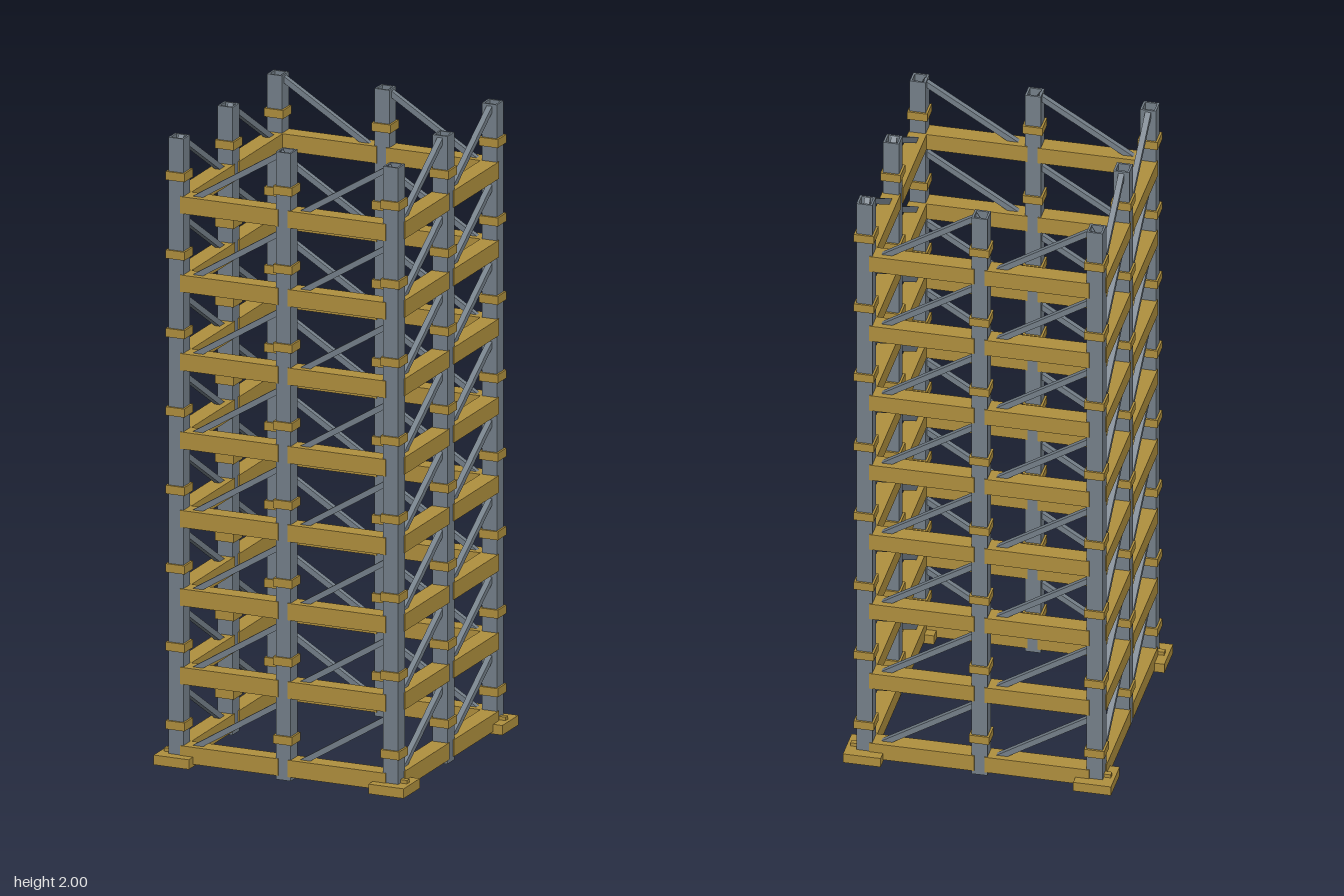
import * as THREE from 'three';

const LEVELS = 8, STEP = 0.25, R = 0.36; // storeys, storey height, half distance between corner posts

export function createModel() {
  const steel = new THREE.MeshStandardMaterial({ color: 0x75808a });
  steel.name = 'steel grey';
  const ochre = new THREE.MeshStandardMaterial({ color: 0xb0903e });
  ochre.name = 'ochre';

  // Square tube standing on y = 0
  function squareTube(outer, inner, height) {
    const square = (Type, s) => new Type([
      new THREE.Vector2(-s / 2, -s / 2), new THREE.Vector2(s / 2, -s / 2),
      new THREE.Vector2(s / 2, s / 2), new THREE.Vector2(-s / 2, s / 2),
    ]);
    const shape = square(THREE.Shape, outer);
    shape.holes.push(square(THREE.Path, inner));
    return new THREE.ExtrudeGeometry(shape, { depth: height, bevelEnabled: false }).rotateX(-Math.PI / 2);
  }

  function add(parent, name, geometry, material, x, y, z) {
    const mesh = new THREE.Mesh(geometry, material);
    mesh.name = name;
    mesh.position.set(x, y, z);
    parent.add(mesh);
    return mesh;
  }

  const postGeo = squareTube(0.05, 0.037, 2);
  const collarGeo = squareTube(0.063, 0.049, 0.027);
  const beamGeo = new THREE.BoxGeometry(0.328, 0.054, 0.057);
  const padGeo = new THREE.BoxGeometry(0.118, 0.031, 0.118);
  const pinGeo = new THREE.BoxGeometry(0.094, 0.014, 0.018);

  // Diagonal brace rises towards +x within one bay
  const run = 0.338, rise = run * 0.617;
  const braceGeo = new THREE.BoxGeometry(Math.hypot(run, rise), 0.018, 0.018)
    .rotateZ(Math.atan2(rise, run));

  const tower = new THREE.Group();
  tower.name = 'scaffoldTower';

  // Four identical sides, turned about the vertical axis
  for (let s = 0; s < 4; s++) {
    const side = new THREE.Group();
    side.name = ['front', 'right', 'back', 'left'][s] + 'Side';
    side.rotation.y = s * Math.PI / 2;
    tower.add(side);

    // One corner post and one middle post belong to each side
    add(side, 'cornerPost', postGeo, steel, R, 0, R);
    add(side, 'middlePost', postGeo, steel, 0, 0, R);
    add(side, 'footPad', padGeo, ochre, R, 0.0205, R);

    for (let i = 0; i < LEVELS; i++) {
      const y = i * STEP;
      for (const x of [0, R]) add(side, 'collar', collarGeo, ochre, x, y + 0.115, R);
      for (const x of [-R / 2, R / 2]) {
        add(side, 'beam', beamGeo, ochre, x, y + 0.04, R);
        add(side, 'brace', braceGeo, steel, x, y + 0.137, R);
      }
    }
  }

  // Pins through the feet of the corner posts
  for (const x of [-R, R]) for (const z of [-R, R]) add(tower, 'footPin', pinGeo, ochre, x, 0.04, z);

  return tower;
}
